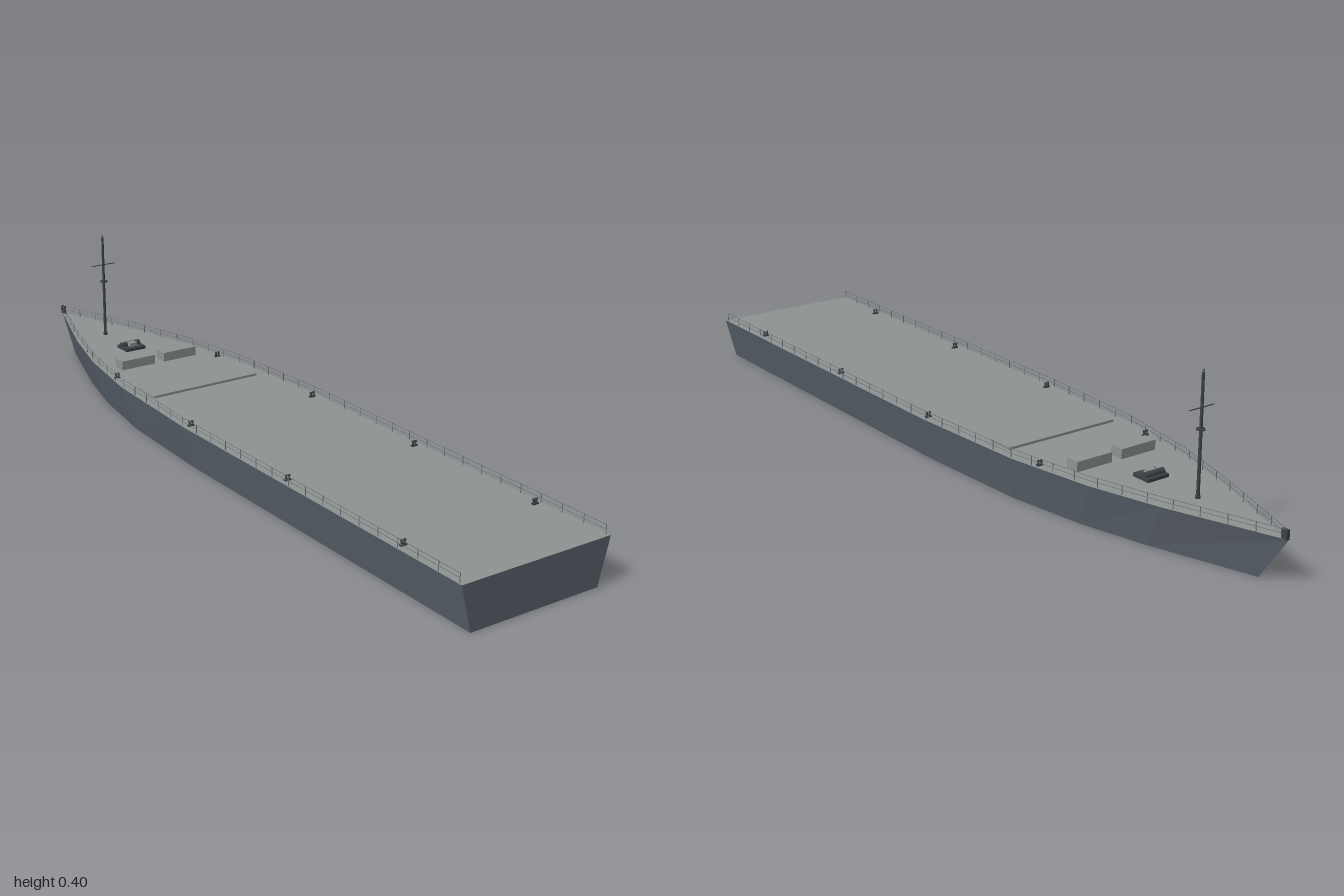
import * as THREE from 'three';

const DECK_Y = 0.11;
const mat = (color) => new THREE.MeshStandardMaterial({ color, flatShading: true });

export function createModel() {
  const ship = new THREE.Group();
  ship.name = 'ship';
  const hullMat = mat(0x5c646e), deckMat = mat(0x8c9492), darkMat = mat(0x3c4045), railMat = mat(0x6a6e72);

  const add = (parent, name, geo, material, x = 0, y = 0, z = 0) => {
    const m = new THREE.Mesh(geo, material);
    m.name = name;
    m.position.set(x, y, z);
    parent.add(m);
    return m;
  };
  const group = (name, x = 0, y = 0, z = 0) => {
    const g = new THREE.Group();
    g.name = name;
    g.position.set(x, y, z);
    ship.add(g);
    return g;
  };
  const box = (w, h, d) => new THREE.BoxGeometry(w, h, d);
  const cyl = (r, h, n = 10, rTop = r) => new THREE.CylinderGeometry(rTop, r, h, n);
  // thin bar between two points
  const bar = (parent, name, a, b, r, material) => {
    const m = add(parent, name, cyl(r, a.distanceTo(b), 5), material);
    m.position.lerpVectors(a, b, 0.5);
    m.quaternion.setFromUnitVectors(new THREE.Vector3(0, 1, 0), b.clone().sub(a).normalize());
  };

  // half outline of the deck, stern to bow: [half width, z]
  const half = [[0.2, 1], [0.2, 0], [0.182, -0.33], [0.145, -0.55], [0.095, -0.73], [0, -1]];
  const outline = [...half, ...half.slice(0, -1).reverse().map(([x, z]) => [-x, z])];
  const top = outline.map(([x, z]) => [x, DECK_Y, z]);
  const keel = outline.map(([x, z]) => [x * 0.86, 0, z < 0 ? z * 0.925 : z]);
  const fromTriangles = (tris) => {
    const g = new THREE.BufferGeometry();
    g.setAttribute('position', new THREE.Float32BufferAttribute(tris.flat(), 3));
    g.computeVertexNormals();
    return g;
  };

  // hull sides, transom and bottom; the deck closes the top
  const sides = [], deck = [], n = outline.length;
  for (let i = 0; i < n; i++) {
    const j = (i + 1) % n;
    sides.push(keel[i], keel[j], top[j], keel[i], top[j], top[i]);
    if (i > 0 && i < n - 1) {
      sides.push(keel[0], keel[j], keel[i]);
      deck.push(top[0], top[i], top[j]);
    }
  }
  add(ship, 'hull', fromTriangles(sides), hullMat);
  add(ship, 'deck', fromTriangles(deck), deckMat);

  // railings along both sides
  for (const s of [1, -1]) {
    const railing = group(s > 0 ? 'leftRailing' : 'rightRailing');
    const path = new THREE.CurvePath();
    const pts = half.map(([x, z]) => new THREE.Vector3(s * Math.max(x - 0.004, 0.002), DECK_Y, z * 0.99));
    for (let i = 0; i < pts.length - 1; i++) {
      path.add(new THREE.LineCurve3(pts[i], pts[i + 1]));
      for (const h of [0.011, 0.021]) {
        const lift = new THREE.Vector3(0, h, 0);
        bar(railing, 'rail', pts[i].clone().add(lift), pts[i + 1].clone().add(lift), 0.0007, railMat);
      }
    }
    const posts = 32;
    for (let i = 0; i <= posts; i++) {
      const p = path.getPointAt(i / posts);
      add(railing, 'railPost', cyl(0.001, 0.022, 5), railMat, p.x, DECK_Y + 0.011, p.z);
    }
  }

  // twin-post mooring bollards
  for (const [x, z] of [[0.155, -0.4], [0.18, 0], [0.18, 0.4], [0.18, 0.8]]) {
    for (const s of [1, -1]) {
      const b = group('bollard', s * x, DECK_Y, z);
      add(b, 'bollardBase', box(0.016, 0.003, 0.008), darkMat, 0, 0.0015, 0);
      for (const dx of [-0.004, 0.004]) {
        add(b, 'bollardPost', cyl(0.0025, 0.011, 8), darkMat, dx, 0.0065, 0);
        add(b, 'bollardCap', cyl(0.0033, 0.002, 8), darkMat, dx, 0.012, 0);
      }
    }
  }

  // deck housings and the low hatch behind them
  for (const s of [1, -1]) {
    add(ship, 'deckLocker', box(0.1, 0.024, 0.036), deckMat, s * 0.064, DECK_Y + 0.012, -0.462);
  }
  add(ship, 'hatchCover', box(0.31, 0.006, 0.075), deckMat, 0, DECK_Y + 0.003, -0.25);

  // anchor winch
  const winch = group('anchorWinch', 0, DECK_Y, -0.593);
  add(winch, 'winchBase', box(0.06, 0.008, 0.05), darkMat, 0, 0.004, 0);
  add(winch, 'winchDrum', cyl(0.008, 0.05, 12), darkMat, 0, 0.01, -0.008).rotation.z = Math.PI / 2;
  for (const s of [1, -1]) {
    add(winch, 'winchEnd', cyl(0.009, 0.006, 12), darkMat, s * 0.025, 0.009, -0.008).rotation.z = Math.PI / 2;
  }
  add(winch, 'winchGearbox', box(0.022, 0.012, 0.018), deckMat, 0, 0.012, 0.003);

  // mast with yard, platform and top light
  const mast = group('mast', 0, DECK_Y, -0.74);
  add(mast, 'mastFoot', cyl(0.006, 0.006), darkMat, 0, 0.003, 0);
  add(mast, 'mastPole', cyl(0.004, 0.28, 10, 0.0033), darkMat, 0, 0.14, 0);
  add(mast, 'mastPlatform', cyl(0.01, 0.003, 12), darkMat, 0, 0.155, 0);
  add(mast, 'yard', cyl(0.0012, 0.07, 6), darkMat, 0, 0.203, 0).rotation.z = Math.PI / 2;
  add(mast, 'mastLight', cyl(0.0025, 0.007, 8), railMat, 0, 0.2835, 0);

  // stem post at the bow
  add(ship, 'bowPost', box(0.008, 0.022, 0.016), darkMat, 0, DECK_Y + 0.01, -0.99);

  return ship;
}
